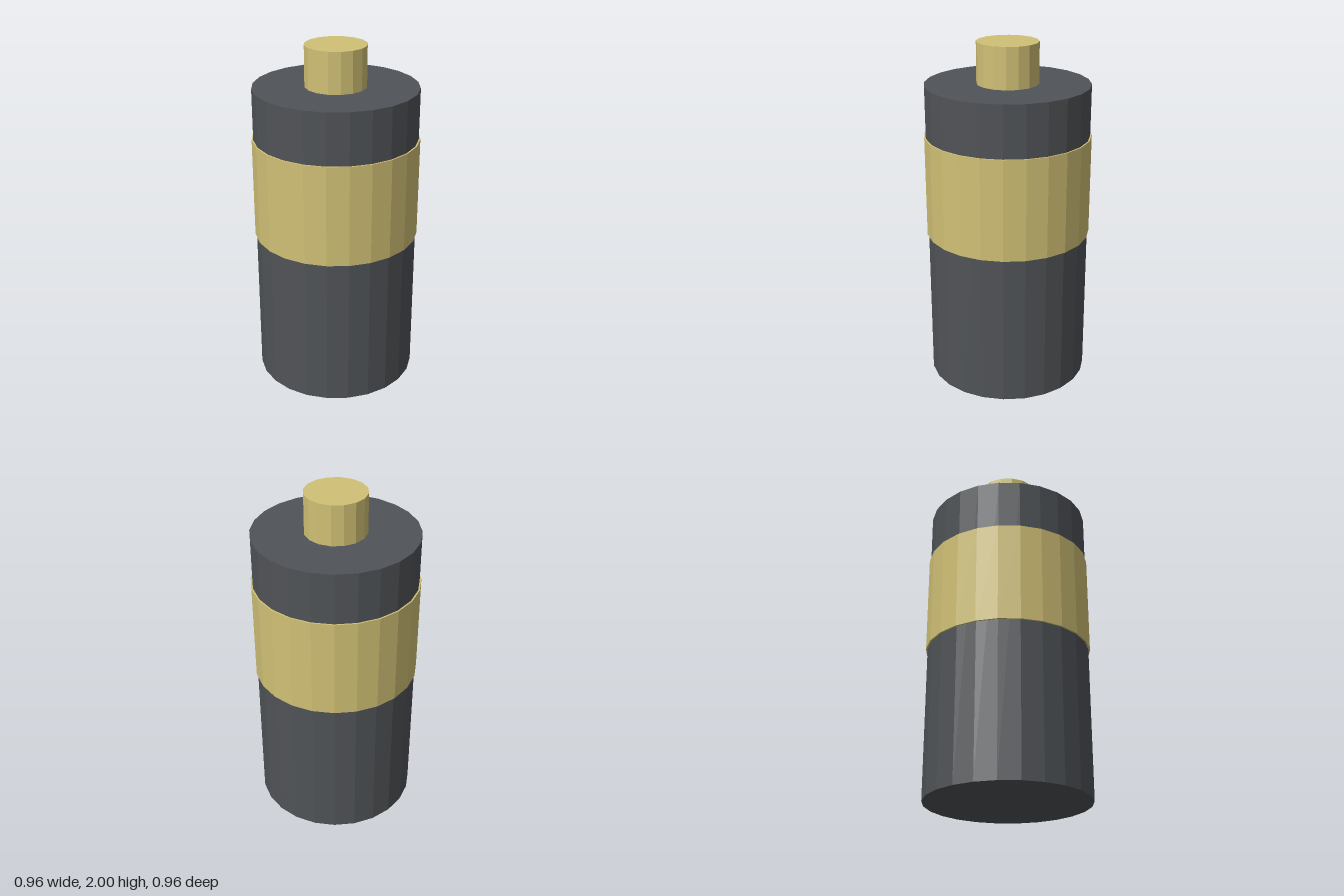
import * as THREE from 'three';

export function createModel() {
  const group = new THREE.Group();
  const material = (name, color) => {
    const m = new THREE.MeshStandardMaterial({ color, flatShading: true });
    m.name = name;
    return m;
  };
  const charcoal = material('charcoal', 0x505357);
  const brass = material('brass', 0xd0c075);

  // Upright faceted cylinder spanning two heights
  const addCylinder = (name, radius, bottom, top, sides, mat) => {
    const mesh = new THREE.Mesh(
      new THREE.CylinderGeometry(radius, radius, top - bottom, sides), mat);
    mesh.position.y = (bottom + top) / 2;
    mesh.name = name;
    group.add(mesh);
  };

  addCylinder('body', 0.469, 0, 1.765, 24, charcoal);
  // Raised band wrapped around the body
  addCylinder('band', 0.478, 0.887, 1.47, 24, brass);
  // Contact stud on top
  addCylinder('terminal', 0.176, 1.765, 2, 16, brass);

  return group;
}
